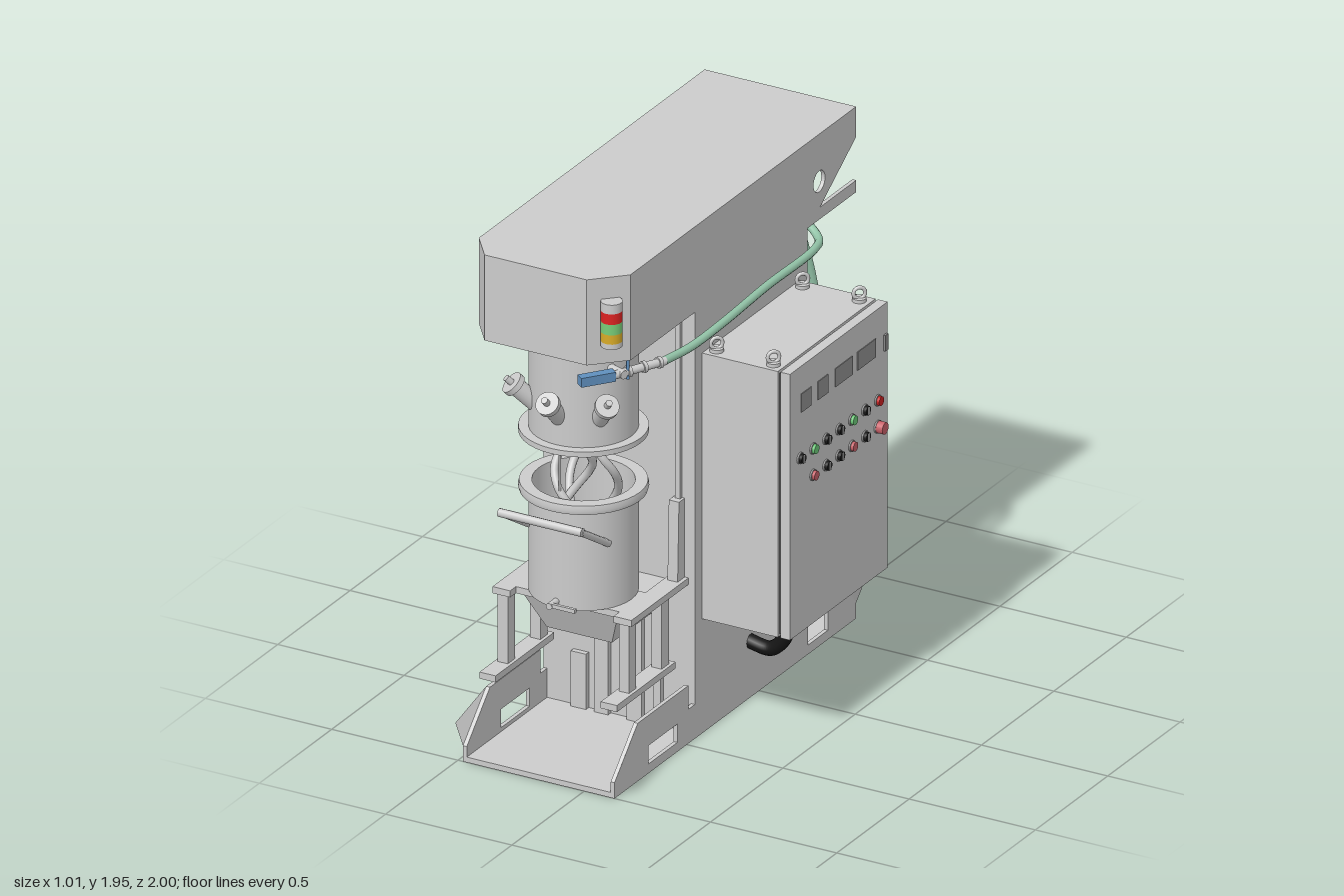
import * as THREE from 'three';

const V = (x, y, z) => new THREE.Vector3(x, y, z);
const CX = -0.18, VZ = 0.69; // vessel axis

export function createModel() {
  const root = new THREE.Group();
  const mats = {};
  const mat = (color = 0xcccccc) => (mats[color] ??= new THREE.MeshStandardMaterial({ color, side: THREE.DoubleSide }));
  const add = (name, geo, color) => {
    const m = new THREE.Mesh(geo, mat(color));
    m.name = name;
    root.add(m);
    return m;
  };
  // box given by its limits
  const box = (name, x0, x1, y0, y1, z0, z1, color) =>
    add(name, new THREE.BoxGeometry(x1 - x0, y1 - y0, z1 - z0).translate((x0 + x1) / 2, (y0 + y1) / 2, (z0 + z1) / 2), color);
  // cylinder between two points
  const rod = (name, a, b, r, color, r2 = r, seg = 20) => {
    const d = b.clone().sub(a);
    const m = add(name, new THREE.CylinderGeometry(r2, r, d.length(), seg), color);
    m.position.copy(a).addScaledVector(d, 0.5);
    m.quaternion.setFromUnitVectors(V(0, 1, 0), d.normalize());
    return m;
  };
  const poly = pts => new THREE.Shape(pts.map(p => new THREE.Vector2(...p)));
  // side profile in (z, y), extruded in x
  const side = (name, shape, x0, x1) =>
    add(name, new THREE.ExtrudeGeometry(shape, { depth: x1 - x0, bevelEnabled: false, curveSegments: 16 })
      .rotateY(-Math.PI / 2).translate(x1, 0, 0));
  const hose = (name, pts, r, color, n = 80) =>
    add(name, new THREE.TubeGeometry(new THREE.CatmullRomCurve3(pts.map(p => V(...p)), false, 'centripetal'), n, r, 10), color);
  const lathe = (name, pts, x, z) =>
    add(name, new THREE.LatheGeometry(pts.map(p => new THREE.Vector2(...p)), 40).translate(x, 0, z));

  // column, chamfered head and rear overhang
  box('column', -0.48, 0.12, 0, 1.62, -0.335, 0.445);
  const plan = poly([[-0.48, -0.335], [0.12, -0.335], [0.12, 0.89], [0.01, 1], [-0.395, 1], [-0.48, 0.89]]);
  add('head', new THREE.ExtrudeGeometry(plan, { depth: 0.325, bevelEnabled: false })
    .rotateX(Math.PI / 2).translate(0, 1.945, 0));
  box('rearOverhang', -0.48, 0.12, 1.83, 1.945, -0.67, -0.335);

  // base tray with its side rails, gussets and bracket bars on both sides
  box('basePlate', -0.48, 0.12, 0, 0.02, -0.67, 1);
  const rect = (z0, z1, y0, y1) => new THREE.Path([[z0, y0], [z1, y0], [z1, y1], [z0, y1]].map(p => new THREE.Vector2(...p)));
  for (const s of [-1, 1]) {
    const outer = CX + s * 0.3, inner = CX + s * 0.285;
    const x0 = Math.min(outer, inner), x1 = Math.max(outer, inner);
    const front = poly([[0.445, 0], [1, 0], [1, 0.06], [0.84, 0.22], [0.49, 0.22], [0.49, 0.13], [0.445, 0.13]]);
    front.holes.push(rect(0.565, 0.765, 0.035, 0.105));
    side('frontRail', front, x0, x1);
    const rear = poly([[-0.335, 0], [-0.335, 0.22], [-0.55, 0.22], [-0.67, 0.06], [-0.67, 0]]);
    rear.holes.push(rect(-0.475, -0.336, 0.035, 0.105));
    side('rearRail', rear, x0, x1);
    // rail tips bent outward
    for (const [z0, z1] of [[0.84, 1], [-0.55, -0.67]]) {
      const g = new THREE.BufferGeometry().setFromPoints(
        [V(outer, 0.22, z0), V(outer + s * 0.03, 0.14, z1), V(outer, 0.06, z1)]);
      g.computeVertexNormals();
      add('railTip', g);
    }
    const gusset = poly([[-0.335, 1.83], [-0.67, 1.83], [-0.42, 1.665], [-0.4, 1.62], [-0.335, 1.62]]);
    gusset.holes.push(new THREE.Path().absarc(-0.415, 1.765, 0.04, 0, Math.PI * 2, true));
    side('gusset', gusset, x0, x1);
    box('bracketBar', x0, x1, 1.62, 1.665, -0.67, -0.335);

    // vessel lift frame
    const lx = CX + s * 0.24;
    box('liftFoot', lx - 0.032, lx + 0.032, 0.295, 0.32, 0.53, 0.935);
    box('liftArm', lx - 0.035, lx + 0.035, 0.58, 0.605, 0.445, 0.84);
    for (const z of [0.58, 0.805]) box('liftLeg', lx - 0.02, lx + 0.02, 0.31, 0.59, z - 0.025, z + 0.025);
    side('liftGuide', poly([[0.445, 0.58], [0.495, 0.58], [0.485, 0.905], [0.445, 0.905]]), lx - 0.02, lx + 0.02);
    box('columnRail', lx - 0.01, lx + 0.01, 0.9, 1.62, 0.445, 0.46);
  }
  box('liftCrossBar', -0.455, 0.095, 0.58, 0.605, 0.62, 0.8);
  for (const [x, w, h] of [[-0.33, 0.06, 0.23], [-0.24, 0.055, 0.5], [-0.11, 0.06, 0.5], [-0.02, 0.03, 0.4]])
    box('columnRib', x - w / 2, x + w / 2, 0.02, h, 0.445, 0.465);

  // tapered support under the vessel
  const trough = new THREE.BoxGeometry(0.38, 0.145, 0.34).translate(CX, 0.51, 0.615);
  const tp = trough.attributes.position;
  for (let i = 0; i < tp.count; i++) if (tp.getY(i) < 0.5) {
    tp.setX(i, CX + (tp.getX(i) - CX) * 0.68);
    if (tp.getZ(i) > 0.6) tp.setZ(i, 0.72);
  }
  trough.computeVertexNormals();
  add('support', trough);

  // open vessel with rim, handle and drain
  lathe('vessel', [[0, 0.605], [0.19, 0.605], [0.19, 0.605], [0.19, 0.985], [0.19, 0.985]], CX, VZ);
  lathe('vesselInside', [[0, 0.63], [0.178, 0.63], [0.178, 0.63], [0.178, 1.018]], CX, VZ);
  lathe('vesselRim', [[0.178, 0.985], [0.222, 0.985], [0.222, 0.985], [0.226, 1], [0.222, 1.018], [0.222, 1.018], [0.178, 1.018]], CX, VZ);
  for (const s of [-1, 1]) rod('handleArm', V(CX + s * 0.155, 0.85, 0.79), V(CX + s * 0.155, 0.972, 0.985), 0.013, undefined, 0.013, 8);
  rod('handleBar', V(CX - 0.165, 0.972, 0.985), V(CX + 0.165, 0.972, 0.985), 0.016, undefined, 0.016, 8);
  rod('drain', V(CX, 0.63, 0.86), V(CX, 0.63, 0.93), 0.012);
  box('drainLever', CX - 0.005, CX + 0.1, 0.625, 0.64, 0.915, 0.927);

  // mixing hood with flanges and three angled ports
  rod('hood', V(CX, 1.22, VZ), V(CX, 1.62, VZ), 0.19, undefined, 0.19, 40);
  for (const y of [1.205, 1.6]) rod('hoodFlange', V(CX, y, VZ), V(CX, y + 0.02, VZ), 0.225, undefined, 0.225, 40);
  for (const a of [-0.85, 0, 0.85]) {
    const at = (r, y) => V(CX + Math.sin(a) * r, y, VZ + Math.cos(a) * r);
    rod('port', at(0.16, 1.315), at(0.245, 1.4), 0.032);
    rod('portCap', at(0.238, 1.393), at(0.253, 1.408), 0.043);
    rod('portKnob', at(0.25, 1.405), at(0.272, 1.427), 0.012);
  }
  // twisted mixing blades
  for (const z of [0.62, 0.76]) {
    for (let k = 0; k < 2; k++) {
      const pts = [];
      for (let i = 0; i <= 10; i++) {
        const t = i / 10, a = k * Math.PI + t * Math.PI * 1.5 + (z > VZ ? Math.PI / 2 : 0);
        const r = 0.085 * Math.min(1, (1 - t) * 3 + 0.25);
        pts.push([CX + Math.cos(a) * r, 0.66 + t * 0.55, z + Math.sin(a) * r]);
      }
      hose('blade', pts, 0.015, undefined, 40);
    }
    rod('bladeShaft', V(CX, 1.16, z), V(CX, 1.22, z), 0.03);
    box('bladeFoot', CX - 0.09, CX + 0.09, 0.65, 0.675, z - 0.015, z + 0.015);
  }
  rod('probe', V(CX, 0.8, 0.855), V(CX, 1.22, 0.855), 0.004, undefined, 0.004, 8);

  // signal light
  for (const [y0, y1, c] of [[1.695, 1.715, undefined], [1.715, 1.75, 0xd8ab28], [1.75, 1.79, 0x78cc78], [1.79, 1.83, 0xdd2222], [1.83, 1.865, undefined]])
    rod('signalLight', V(0.083, y0, 0.955), V(0.083, y1, 0.955), 0.038, c);

  // control cabinet
  box('cabinet', 0.12, 0.42, 0.435, 1.445, -0.28, 0.395);
  box('cabinetSeal', 0.42, 0.43, 0.445, 1.435, -0.27, 0.385, 0x555555);
  box('cabinetDoor', 0.43, 0.468, 0.435, 1.445, -0.28, 0.395);
  box('doorLatch', 0.468, 0.476, 1.27, 1.33, -0.272, -0.25, 0x888888);
  for (const x of [0.155, 0.38]) for (const z of [0.355, -0.238]) {
    rod('eyeBase', V(x, 1.445, z), V(x, 1.458, z), 0.025);
    add('liftingEye', new THREE.TorusGeometry(0.021, 0.007, 8, 18).rotateY(Math.PI / 4).translate(x, 1.475, z));
  }
  for (const [z0, z1] of [[0.25, 0.32], [0.135, 0.205], [-0.035, 0.085], [-0.195, -0.07]])
    box('display', 0.466, 0.471, 1.27, 1.34, z0, z1, 0x909090);
  const K = 0x181818, G = 0x6cc878, R = 0xcc2222, P = 0xc86068;
  [[1.1, [K, G, K, K, G, K, R]], [1, [null, P, K, K, P, K, P]]].forEach(([y, row]) => row.forEach((c, i) => {
    if (c === null) return;
    const z = 0.327 - i * 0.0893, big = y === 1 && i === 6;
    rod('buttonRing', V(0.466, y, z), V(0.474, y, z), big ? 0.024 : 0.021, 0x999999);
    rod('button', V(0.47, y, z), V(big ? 0.5 : 0.485, y, z), big ? 0.022 : 0.017, c);
    if (c === K) box('selector', 0.48, 0.489, y - 0.014, y + 0.014, z - 0.004, z + 0.004);
  }));
  hose('powerCable', [[0.27, 0.45, 0.06], [0.27, 0.33, 0.06], [0.25, 0.25, 0.06], [0.2, 0.205, 0.06], [0.11, 0.215, 0.06]], 0.027, 0x151515, 40);

  // vacuum valve, filter and hoses
  const B = 0x5f8fbd, H = 0x93c4a8;
  const valve = add('valveHandle', new THREE.BoxGeometry(0.035, 0.035, 0.13), B);
  valve.position.set(-0.02, 1.515, 0.878);
  valve.rotation.y = -0.65;
  rod('valvePipe', V(-0.08, 1.515, 0.76), V(0.05, 1.515, 0.81), 0.016);
  rod('valvePin', V(0.05, 1.49, 0.785), V(0.05, 1.59, 0.785), 0.006, B);
  rod('valveOutlet', V(0.02, 1.515, 0.83), V(0.115, 1.515, 0.64), 0.015);
  for (const t of [0.25, 0.55, 0.85]) {
    const p = V(0.02, 1.515, 0.83).lerp(V(0.115, 1.515, 0.64), t);
    rod('valveCollar', p, p.clone().add(V(0.006, 0, -0.012)), 0.021);
  }
  hose('vacuumHose', [[0.11, 1.515, 0.65], [0.135, 1.515, 0.5], [0.15, 1.53, 0.3], [0.15, 1.545, 0], [0.15, 1.55, -0.33],
    [0.12, 1.55, -0.41], [0.04, 1.58, -0.455], [-0.09, 1.585, -0.5]], 0.015, H);
  rod('filterInlet', V(-0.08, 1.585, -0.495), V(-0.2, 1.585, -0.53), 0.02);
  rod('filter', V(-0.26, 1.355, -0.555), V(-0.26, 1.62, -0.555), 0.086, undefined, 0.086, 32);
  rod('filterNeck', V(-0.26, 1.62, -0.555), V(-0.26, 1.83, -0.555), 0.073, undefined, 0.073, 32);
  rod('filterOutlet', V(-0.26, 1.585, -0.63), V(-0.26, 1.585, -0.67), 0.02);
  hose('pumpHose', [[-0.26, 1.585, -0.65], [-0.275, 1.57, -0.72], [-0.295, 1.46, -0.87], [-0.25, 1.255, -0.94], [-0.205, 0.915, -0.98],
    [-0.15, 0.58, -0.88], [-0.13, 0.51, -0.795], [-0.115, 0.45, -0.635], [-0.115, 0.4, -0.54], [-0.115, 0.33, -0.515], [-0.115, 0.2, -0.515]], 0.016, H);

  // vacuum pump on the rear of the base
  rod('pumpBody', V(-0.07, 0.125, -0.56), V(-0.32, 0.125, -0.56), 0.07, B, 0.07, 24);
  rod('pumpMotor', V(-0.32, 0.125, -0.56), V(-0.445, 0.125, -0.56), 0.066, undefined, 0.06, 24);
  box('pumpCollar', -0.24, -0.19, 0.04, 0.205, -0.64, -0.48, B);
  box('pumpFoot', -0.28, -0.12, 0.02, 0.05, -0.64, -0.48, B);
  box('pumpPort', -0.15, -0.08, 0.12, 0.21, -0.56, -0.49, B);

  return root;
}
